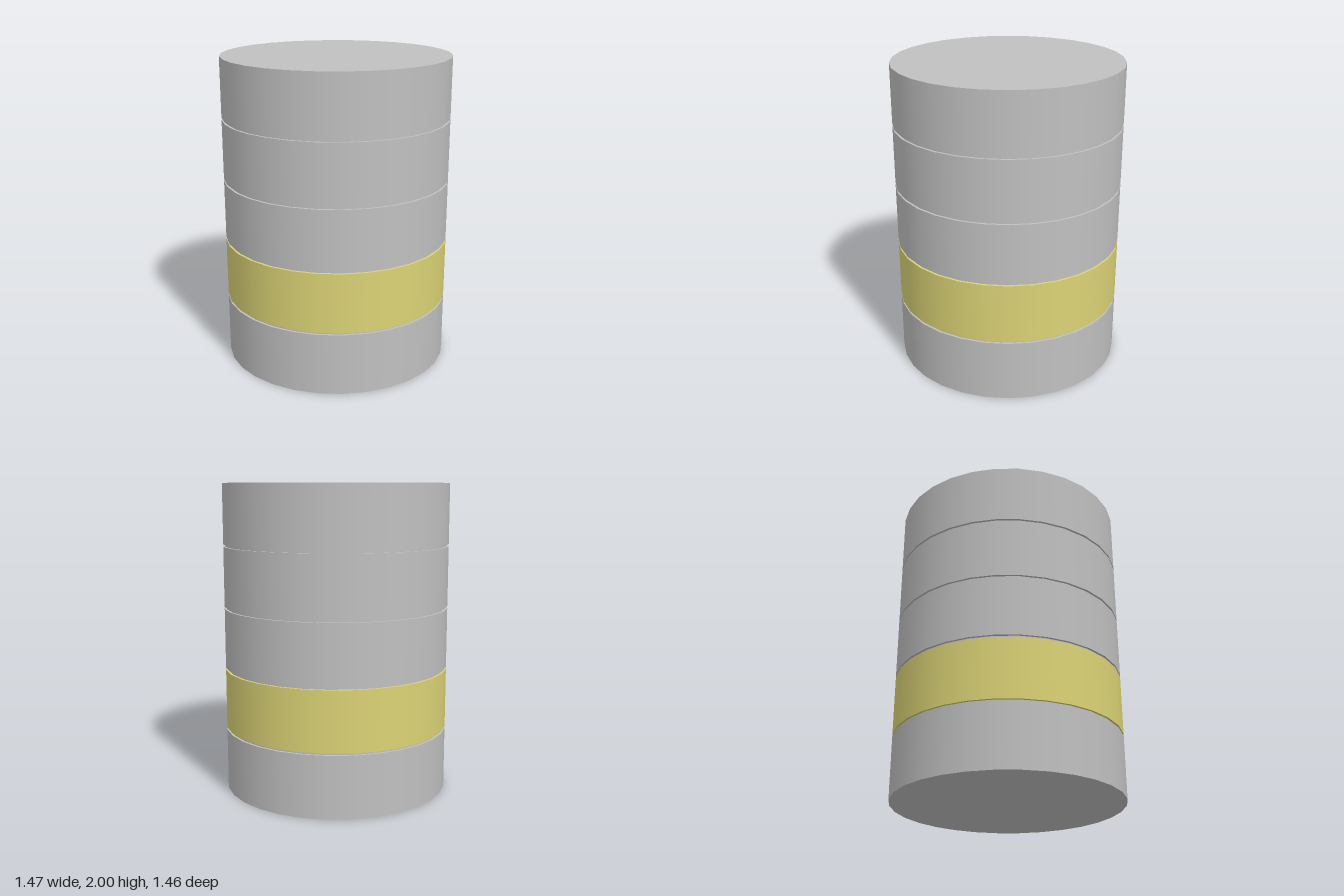
import * as THREE from 'three';

const SIDES = 30;
const RADIUS = 0.735;
const CORE_RADIUS = 0.72;
const PITCH = 0.4;
const GROOVE = 0.014;

const grey = new THREE.MeshStandardMaterial({ color: 0xc0c0c0 });
grey.name = 'grey';
const yellow = new THREE.MeshStandardMaterial({ color: 0xdbd376 });
yellow.name = 'yellow';

// Upright drum from y0 to y1 with a corner on the x axis
function drum(name, radius, y0, y1, material, open = false) {
  const geometry = new THREE.CylinderGeometry(radius, radius, y1 - y0, SIDES, 1, open, Math.PI / 2);
  const mesh = new THREE.Mesh(geometry, material);
  mesh.position.y = (y0 + y1) / 2;
  mesh.name = name;
  return mesh;
}

export function createModel() {
  const model = new THREE.Group();
  model.name = 'discStack';

  // Five discs, the second one yellow, each upper disc raised by a narrow groove
  for (let i = 0; i < 5; i++) {
    const y = i * PITCH;
    const isBand = i === 1;
    const bottom = i === 0 ? 0 : y + GROOVE;
    model.add(drum(isBand ? 'yellowDisc' : `greyDisc${i + 1}`, RADIUS, bottom, y + PITCH, isBand ? yellow : grey));
    // Recessed wall of the groove below the disc
    if (i > 0) model.add(drum(`groove${i}`, CORE_RADIUS, y, bottom, grey, true));
  }
  return model;
}
